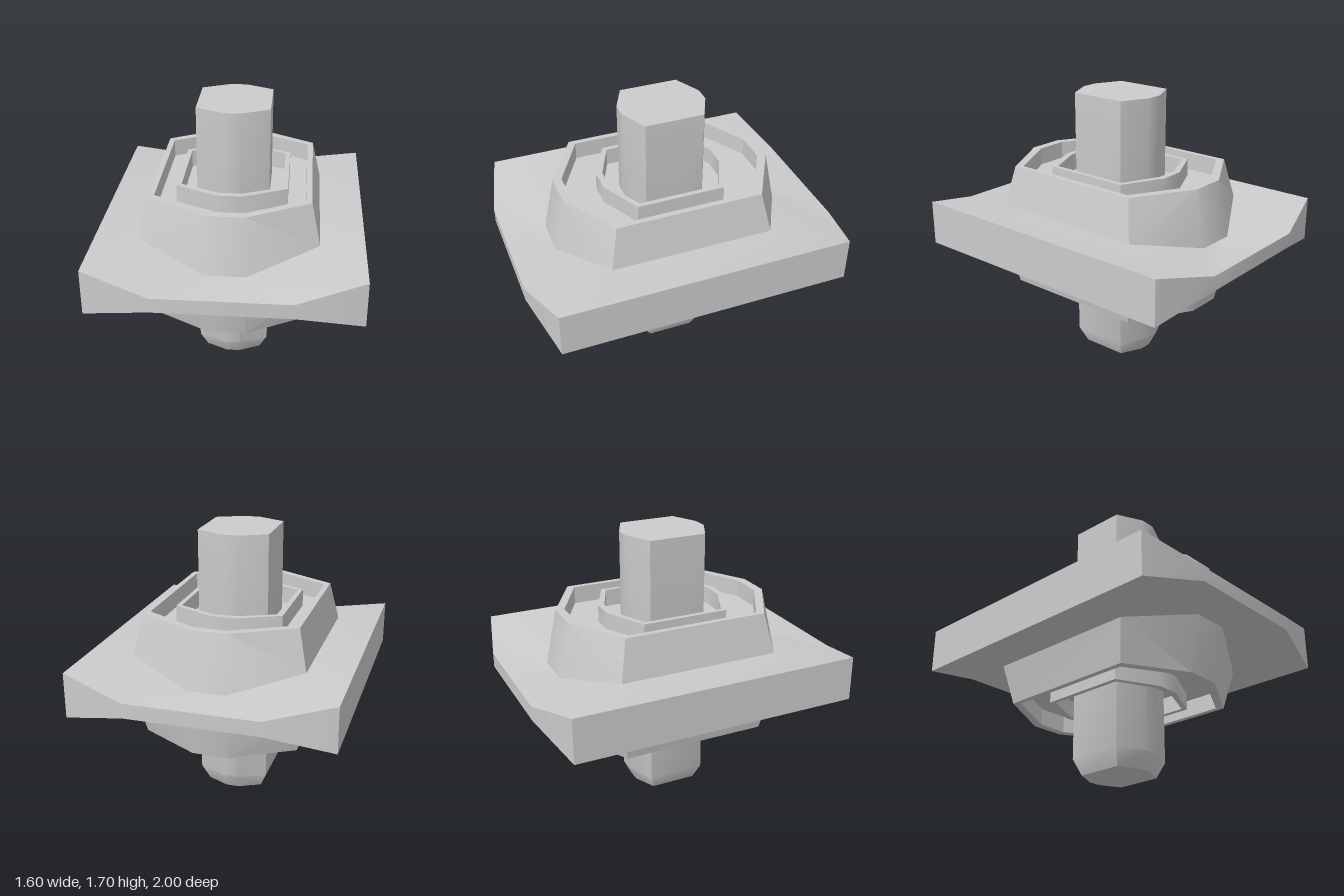
import * as THREE from 'three';
import { toCreasedNormals } from 'three/addons/utils/BufferGeometryUtils.js';

const MID = 0.85; // height of the plate's centre plane

// Stretched octagon: side corners (±sideX, ±sideZ) at sideY, end corners (±endX, ±endZ) at endY.
function loop(sideX, sideZ, endX, endZ, sideY, endY = sideY) {
  const front = [[-endX, endY, endZ], [endX, endY, endZ], [sideX, sideY, sideZ]];
  const back = [[sideX, sideY, -sideZ], [endX, endY, -endZ], [-endX, endY, -endZ]];
  return [...front, ...back, [-sideX, sideY, -sideZ], [-sideX, sideY, sideZ]];
}

// Skins consecutive loops, optionally closing the first and last.
function loft(name, loops, capped = false) {
  const n = 8;
  const index = [];
  for (let r = 0; r < loops.length - 1; r++) {
    for (let i = 0; i < n; i++) {
      const j = (i + 1) % n;
      const a = r * n + i, b = r * n + j, c = b + n, d = a + n;
      // mirrored diagonals keep all four corners alike
      if (i === 1 || i === 5) index.push(a, b, d, b, c, d);
      else index.push(a, b, c, a, c, d);
    }
  }
  if (capped) {
    const top = (loops.length - 1) * n;
    for (let i = 1; i < n - 1; i++) {
      index.push(0, i + 1, i, top, top + i, top + i + 1);
    }
  }
  const geometry = new THREE.BufferGeometry();
  geometry.setAttribute('position', new THREE.Float32BufferAttribute(loops.flat(2), 3));
  geometry.setIndex(index);
  const mesh = new THREE.Mesh(
    toCreasedNormals(geometry, 0.5),
    new THREE.MeshStandardMaterial({ color: 0xcccccc })
  );
  mesh.name = name;
  return mesh;
}

// Tapered collar with a recessed face and a raised inner ring.
function collar(name) {
  const rim = 1.24, floor = 1.13;
  return loft(name, [
    loop(0.535, 0.505, 0.12, 0.735, 0.99, 0.895),
    loop(0.48, 0.455, 0.11, 0.665, rim),
    loop(0.445, 0.42, 0.10, 0.61, rim),
    loop(0.445, 0.42, 0.10, 0.61, floor),
    loop(0.335, 0.275, 0.075, 0.40, floor),
    loop(0.335, 0.275, 0.075, 0.40, rim),
    loop(0.305, 0.255, 0.07, 0.36, rim),
    loop(0.305, 0.255, 0.07, 0.36, floor),
    loop(0.21, 0.17, 0.045, 0.25, floor),
  ]);
}

export function createModel() {
  const model = new THREE.Group();
  model.name = 'hubAssembly';

  // Central post with a chamfered foot
  model.add(loft('post', [
    loop(0.175, 0.145, 0.04, 0.21, 0),
    loop(0.22, 0.18, 0.05, 0.26, 0.1),
    loop(0.22, 0.18, 0.05, 0.26, 1.7),
  ], true));

  // Broad plate, thinning towards its front and back ends
  const inner = (s) => loop(0.535, 0.505, 0.12, 0.735, MID + s * 0.14, MID + s * 0.045);
  const outer = (s) => loop(0.8, 0.9, 0.4, 1, MID + s * 0.14, MID + s * 0.045);
  model.add(loft('plate', [inner(-1), outer(-1), outer(1), inner(1)]));

  // Matching collars above and below the plate
  const lower = collar('lowerCollar');
  lower.rotation.x = Math.PI;
  lower.position.y = 2 * MID;
  model.add(collar('upperCollar'), lower);

  return model;
}
